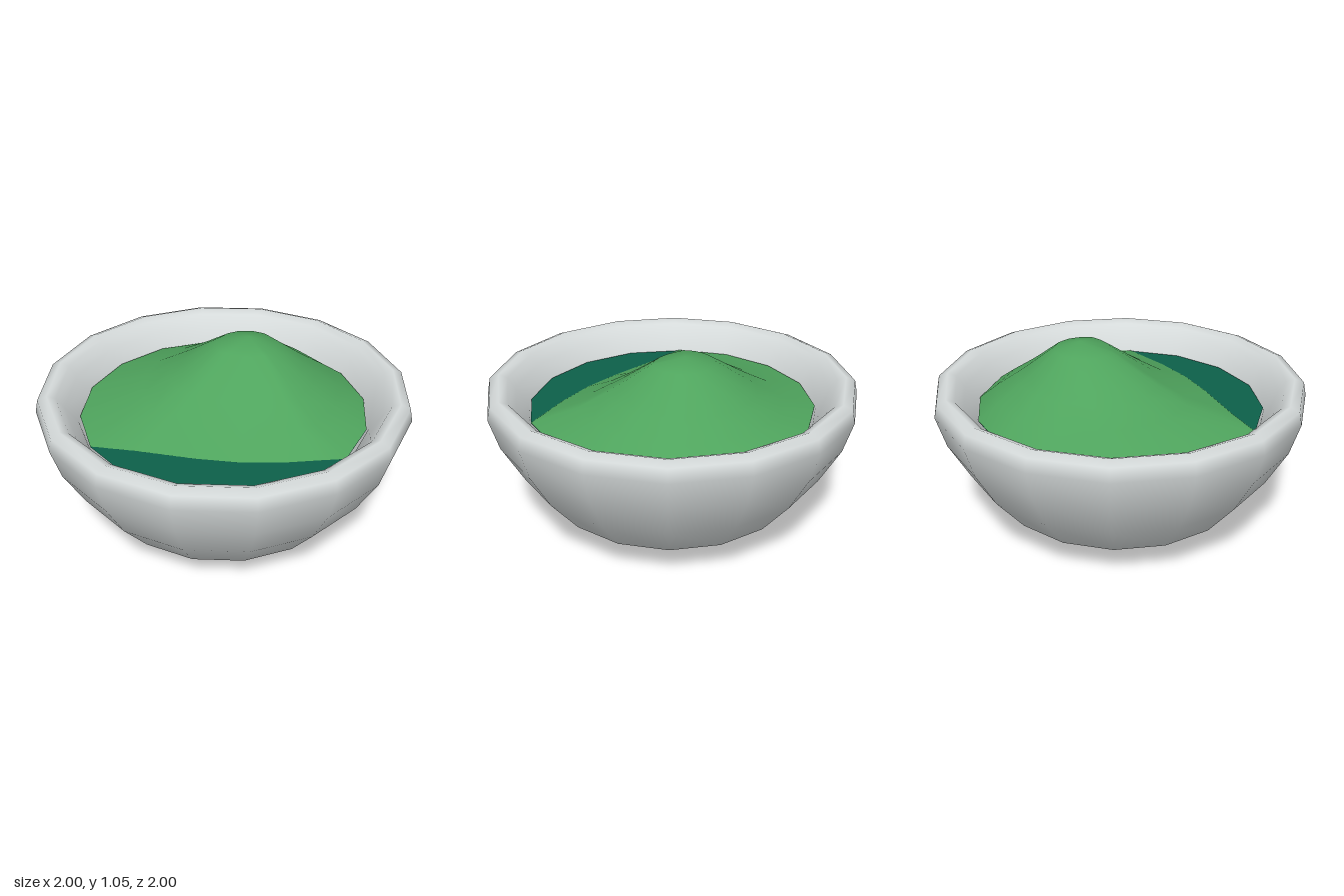
import * as THREE from 'three';

const SIDES = 16;
const FILL_Y = 0.7, FILL_R = 0.775, TURN = THREE.MathUtils.degToRad(2.2);

const material = (name, color) => {
  const m = new THREE.MeshStandardMaterial({ color });
  m.name = name;
  return m;
};

// Corner k of the sixteen-sided filling, as [x, z]
const fillCorner = (k) => {
  const a = TURN + (k * 2 * Math.PI) / SIDES;
  return [FILL_R * Math.cos(a), FILL_R * Math.sin(a)];
};

// Mound: rings spread from an off-centre peak to an irregular outline
function moundGeometry() {
  const peak = [0.2, -0.07], height = 0.35;
  const outline = [[0.15, 0.67], [0, 0.6], [-0.2, 0.48], [-0.37, 0.34], [-0.6, 0.12]];
  for (let k = 8; k <= 19; k++) outline.push(fillCorner(k));
  const rings = [[0.19, 0.88], [0.375, 0.58], [0.46, 0.45], [0.62, 0.22]]; // reach, height share
  const n = outline.length;
  const positions = [peak[0], FILL_Y + height, peak[1]];
  const index = [];
  for (let r = 0; r <= rings.length; r++) {
    outline.forEach(([x, z]) => {
      const dx = x - peak[0], dz = z - peak[1];
      const edge = Math.hypot(dx, dz);
      const [reach, share] = r < rings.length ? rings[r] : [Math.sqrt(edge), 0];
      const t = reach / Math.sqrt(edge);
      positions.push(peak[0] + dx * t, FILL_Y + 0.004 + height * share, peak[1] + dz * t);
    });
  }
  for (let i = 0; i < n; i++) {
    const j = (i + 1) % n;
    index.push(0, 1 + j, 1 + i);
    for (let r = 0; r < rings.length; r++) {
      const a = 1 + r * n + i, b = 1 + r * n + j;
      index.push(a, b, a + n, b, b + n, a + n);
    }
  }
  const g = new THREE.BufferGeometry();
  g.setAttribute('position', new THREE.Float32BufferAttribute(positions, 3));
  g.setIndex(index);
  g.computeVertexNormals();
  return g;
}

export function createModel() {
  const model = new THREE.Group();
  model.name = 'filledBowl';
  const add = (name, geometry, mat) => {
    const mesh = new THREE.Mesh(geometry, mat);
    mesh.name = name;
    model.add(mesh);
    return mesh;
  };

  // Bowl: outer wall, rounded rim and inner wall in one profile
  const profile = [
    [0, 0], [0.37, 0], [0.53, 0.1], [0.68, 0.2], [0.84, 0.4], [0.95, 0.6], [1, 0.77],
    [0.985, 0.84], [0.935, 0.86], [0.89, 0.84], [0.85, 0.78], [0.785, 0.69],
    [0.72, 0.5], [0.55, 0.28], [0.3, 0.12], [0, 0.1],
  ].map(([x, y]) => new THREE.Vector2(x, y));
  add('bowl', new THREE.LatheGeometry(profile, SIDES), material('pale grey', 0xd5dada));

  // Liquid: flat disc just inside the wall
  const liquid = add('liquid', new THREE.CircleGeometry(FILL_R, SIDES).rotateX(-Math.PI / 2),
    material('dark green', 0x0d604a));
  liquid.position.y = FILL_Y;
  liquid.rotation.y = -TURN;

  // Heaped filling
  const green = material('leaf green', 0x4fa45d);
  green.side = THREE.DoubleSide;
  add('mound', moundGeometry(), green);

  return model;
}
